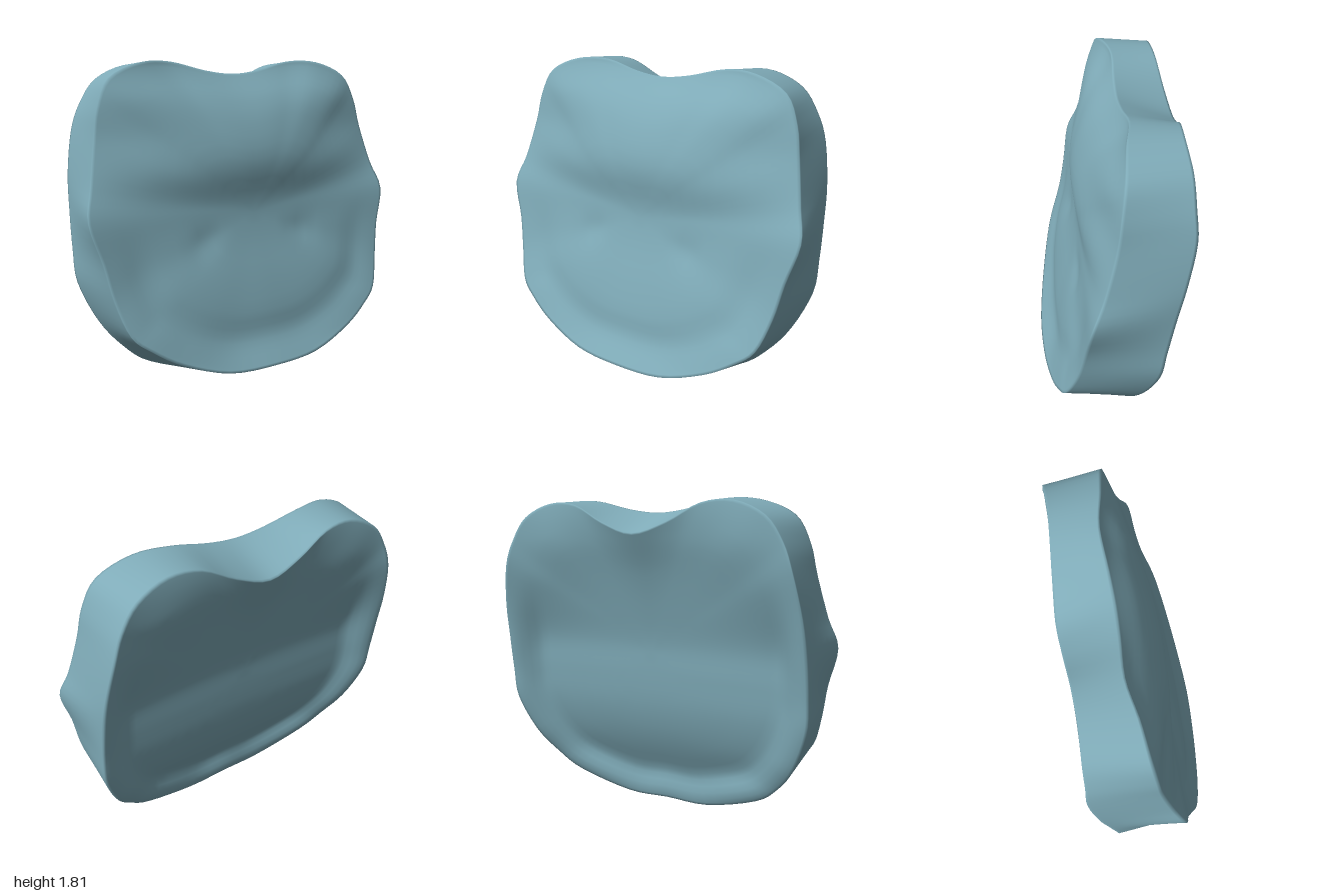
import * as THREE from 'three';
import { mergeVertices } from 'three/addons/utils/BufferGeometryUtils.js';

const SEG = 120;
const MID_Y = 0.95;
const { smoothstep, lerp, clamp } = THREE.MathUtils;

// Half outlines from bottom centre, up the left side, to top centre
const FRONT_RIM = [
  [0, 0.095, 0.39], [0.3, 0.11, 0.375], [0.57, 0.205, 0.34], [0.74, 0.31, 0.305], [0.84, 0.40, 0.27],
  [0.90, 0.58, 0.21], [0.94, 0.78, 0.17], [0.998, 1.0, 0.135], [0.955, 1.17, 0.07], [0.905, 1.40, 0.01],
  [0.87, 1.57, -0.015], [0.79, 1.72, -0.04], [0.6, 1.80, -0.065], [0.4, 1.805, -0.10], [0.18, 1.755, -0.09],
  [0, 1.735, -0.085],
];
const BACK_RIM = [
  [0, 0.005, 0.02], [0.27, 0.003, 0.02], [0.6, 0.105, -0.03], [0.75, 0.22, -0.08], [0.86, 0.37, -0.155],
  [0.945, 0.59, -0.225], [0.955, 0.78, -0.25], [0.95, 1.0, -0.285], [0.935, 1.2, -0.325], [0.89, 1.43, -0.365],
  [0.835, 1.58, -0.36], [0.74, 1.71, -0.355], [0.57, 1.785, -0.345], [0.39, 1.775, -0.355], [0.2, 1.68, -0.375],
  [0, 1.62, -0.39],
];
// Depth along the centre line, every 0.2 in height
const FRONT_DEPTH = [0.44, 0.345, 0.288, 0.235, 0.175, 0.132, 0.115, 0.05, 0, -0.11];
const BACK_DEPTH = [0.11, 0.01, -0.09, -0.15, -0.175, -0.19, -0.235, -0.29, -0.355, -0.40];

// Mirror a half outline and sample it as a closed smooth loop
function rimLoop(half) {
  const left = half.map((p) => new THREE.Vector3(...p));
  const right = half.slice(1, -1).reverse().map(([x, y, z]) => new THREE.Vector3(-x, y, z));
  const curve = new THREE.CatmullRomCurve3([...left, ...right], true, 'catmullrom', 0.5);
  return Array.from({ length: SEG }, (_, j) => curve.getPoint(j / SEG));
}

// Smooth lookup in an evenly spaced depth list
function depthAt(list, y) {
  const f = clamp(y / 0.2, 0, list.length - 1.001);
  const i = Math.floor(f), t = f - i;
  const at = (k) => list[clamp(k, 0, list.length - 1)];
  const a = (at(i + 1) - at(i - 1)) / 2, b = (at(i + 2) - at(i)) / 2;
  const d = at(i + 1) - at(i);
  return at(i) + a * t + (3 * d - 2 * a - b) * t * t + (a + b - 2 * d) * t * t * t;
}

// Soft mound mirrored about the centre line
function mound(x, y, cx, cy, rx, ry) {
  const dx = (Math.abs(x) - cx) / rx, dy = (y - cy) / ry;
  return Math.exp(-dx * dx - dy * dy);
}

// Front details: a broad upper bulge, a groove inside the lower rim, two small hollows
function frontDetail(x, y, s) {
  const bulge = 0.085 * mound(x, y, 0, 1.38, 0.58, 0.25) * (1 - s ** 8);
  const groove = Math.exp(-(((s - 0.8) / 0.11) ** 2)) * (1 - smoothstep(y, 0.5, 1.0));
  return bulge - 0.022 * groove - 0.015 * mound(x, y, 0.33, 0.82, 0.08, 0.08);
}

// Back details: fuller shoulders
const backDetail = (x, y, s) => -0.02 * mound(x, y, 0.6, 1.5, 0.22, 0.22) * (1 - s ** 8);

// How a face eases to its rim: softly in front; behind, a lip below and a soft slope above
const frontEase = (s) => s ** 3;
const backEase = (s, y) => lerp(smoothstep(s, 0.79, 0.97), s ** 4, smoothstep(y, 0.9, 1.5));

// One ring of a face, scaled in from its rim and eased towards the rim depth
function faceRing(rim, depths, s, ease, detail) {
  return rim.map((p) => {
    const x = p.x * s, y = MID_Y + (p.y - MID_Y) * s;
    const z = depthAt(depths, y) + (p.z - depthAt(depths, p.y)) * ease(s, p.y);
    return new THREE.Vector3(x, y, s < 1 ? z + detail(x, y, s) : z);
  });
}

function shellGeometry() {
  const front = rimLoop(FRONT_RIM), back = rimLoop(BACK_RIM);
  const steps = [0, 0.08, 0.16, 0.24, 0.32, 0.4, 0.48, 0.56, 0.64, 0.7, 0.75, 0.8, 0.84, 0.88, 0.92, 0.96, 0.985, 1];
  const rings = steps.map((s) => faceRing(front, FRONT_DEPTH, s, frontEase, frontDetail));

  // Side wall between the two rims
  for (const t of [0.04, 0.15, 0.3, 0.5, 0.7, 0.85, 0.96]) {
    rings.push(front.map((p, j) => p.clone().lerp(back[j], t)));
  }

  // Hollow back
  for (const s of [...steps].reverse()) rings.push(faceRing(back, BACK_DEPTH, s, backEase, backDetail));

  const positions = rings.flat().flatMap((p) => [p.x, p.y, p.z]);
  const index = [];
  for (let i = 0; i < rings.length - 1; i++) {
    for (let j = 0; j < SEG; j++) {
      const k = (j + 1) % SEG;
      const a = i * SEG + j, b = (i + 1) * SEG + j, c = (i + 1) * SEG + k, d = i * SEG + k;
      if (i < rings.length - 2) index.push(a, b, c);
      if (i > 0) index.push(a, c, d);
    }
  }
  const geometry = new THREE.BufferGeometry();
  geometry.setAttribute('position', new THREE.Float32BufferAttribute(positions, 3));
  geometry.setIndex(index);
  const merged = mergeVertices(geometry, 1e-5);
  merged.computeVertexNormals();
  return merged;
}

export function createModel() {
  const group = new THREE.Group();
  group.name = 'mouldedPad';
  const dustyBlue = new THREE.MeshStandardMaterial({ color: 0x7fabb8 });
  dustyBlue.name = 'dustyBlue';
  const pad = new THREE.Mesh(shellGeometry(), dustyBlue);
  pad.name = 'padBody';
  group.add(pad);
  return group;
}
